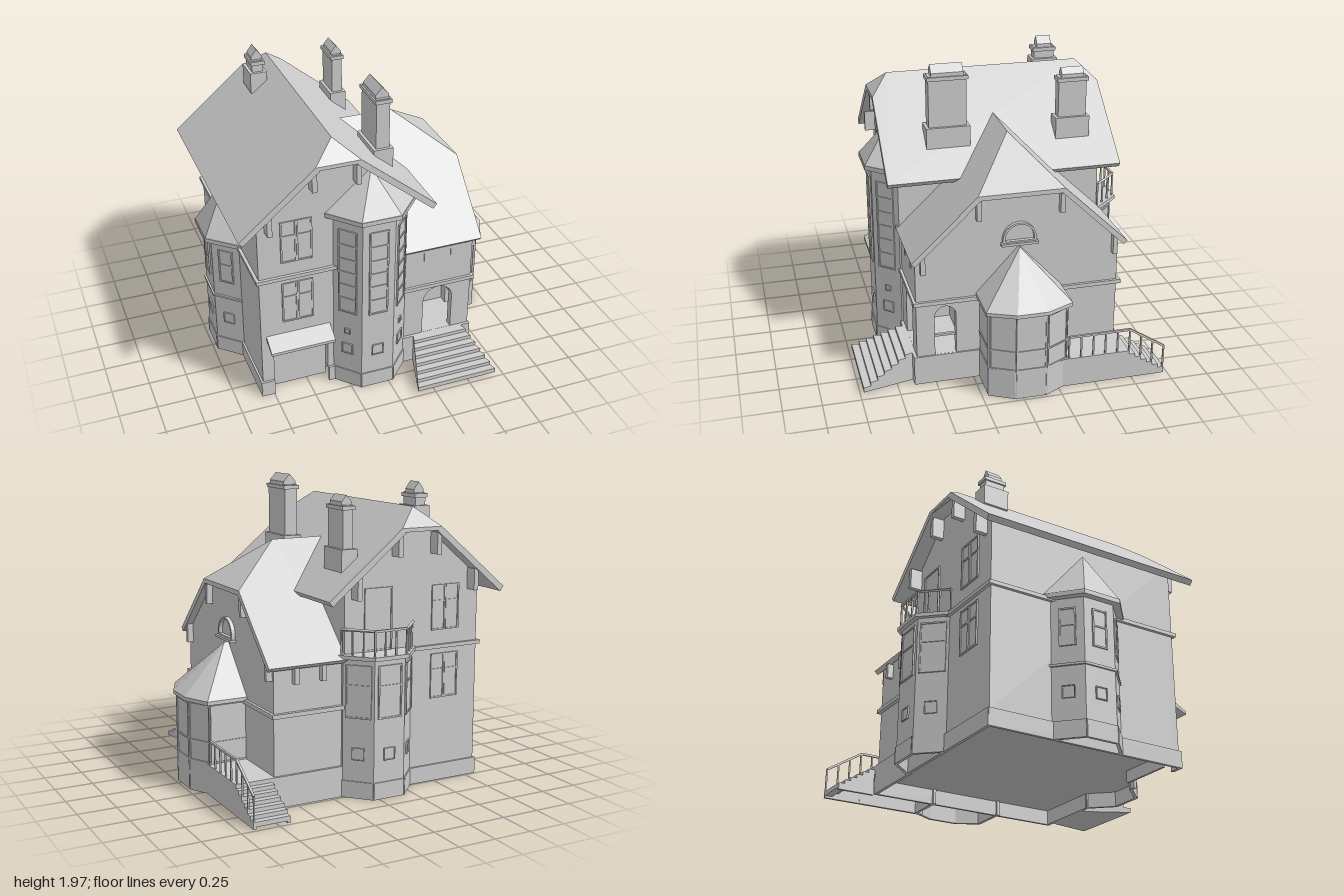
import * as THREE from 'three';
import { ConvexGeometry } from 'three/addons/geometries/ConvexGeometry.js';

const material = new THREE.MeshStandardMaterial({ color: 0xcccccc, flatShading: true });
const V = (x, y, z) => new THREE.Vector3(x, y, z);

function add(parent, name, geometry) {
  const m = new THREE.Mesh(geometry, material);
  m.name = name;
  parent.add(m);
  return m;
}
function group(parent, name, x = 0, y = 0, z = 0, rotY = 0) {
  const g = new THREE.Group();
  g.name = name;
  g.position.set(x, y, z);
  g.rotation.y = rotY;
  parent.add(g);
  return g;
}
function box(parent, name, x0, x1, y0, y1, z0, z1) {
  const m = add(parent, name, new THREE.BoxGeometry(x1 - x0, y1 - y0, z1 - z0));
  m.position.set((x0 + x1) / 2, (y0 + y1) / 2, (z0 + z1) / 2);
  return m;
}
const hull = (parent, name, points) => add(parent, name, new ConvexGeometry(points));
// upright solid over a convex plan of [x, z] corners
const prism = (parent, name, plan, y0, y1) =>
  hull(parent, name, plan.flatMap(([x, z]) => [V(x, y0, z), V(x, y1, z)]));
// thin wall following a path of [x, z] corners
function skirt(parent, name, path, y0, y1) {
  for (let i = 0; i < path.length - 1; i++) {
    const [ax, az] = path[i], [bx, bz] = path[i + 1];
    const m = add(parent, name, new THREE.BoxGeometry(Math.hypot(bx - ax, bz - az) + 0.015, y1 - y0, 0.02));
    m.position.set((ax + bx) / 2, (y0 + y1) / 2, (az + bz) / 2);
    m.rotation.y = Math.atan2(az - bz, bx - ax);
  }
}
// roof slab: a flat convex outline thickened by an offset
const slab = (parent, name, pts, offset) => hull(parent, name, pts.flatMap(p => [p, p.clone().add(offset)]));
const outline = pts => new THREE.Shape(pts.map(p => new THREE.Vector2(...p)));
const extrude = (parent, name, shape, depth) =>
  add(parent, name, new THREE.ExtrudeGeometry(shape, { depth, bevelEnabled: false, curveSegments: 8 }));

function arch(cx, y0, w, h, Type = THREE.Path) {
  const p = new Type(), r = w / 2;
  p.moveTo(cx - r, y0);
  p.lineTo(cx + r, y0);
  p.lineTo(cx + r, y0 + h - r);
  p.absarc(cx, y0 + h - r, r, 0, Math.PI, false);
  p.lineTo(cx - r, y0);
  return p;
}
// handrail following a path at hand height, with posts below
function railing(parent, path, height, counts) {
  const g = group(parent, 'railing');
  for (let i = 0; i < path.length - 1; i++) {
    const a = path[i], b = path[i + 1], along = b.clone().sub(a);
    const rail = add(g, 'handrail', new THREE.BoxGeometry(0.014, along.length(), 0.014));
    rail.position.copy(a).lerp(b, 0.5);
    rail.quaternion.setFromUnitVectors(V(0, 1, 0), along.normalize());
    for (let k = 0; k <= counts[i]; k++) {
      const p = a.clone().lerp(b, k / counts[i]);
      box(g, 'baluster', p.x - 0.005, p.x + 0.005, p.y - height, p.y, p.z - 0.005, p.z + 0.005);
    }
  }
}
// framed window facing local +z, its sill at y; bars are fractions of the height
function windowUnit(parent, x, y, z, rotY, w, h, bars = [], f = 0.01) {
  const g = group(parent, 'window', x, y, z, rotY);
  box(g, 'pane', -w / 2, w / 2, 0, h, -0.01, 0.003);
  for (const s of [-1, 1]) {
    const c = s * (w - f) / 2;
    box(g, 'frameUpright', c - f / 2, c + f / 2, 0, h, -0.01, 0.01);
  }
  for (const t of [0, ...bars, 1]) {
    const c = f / 2 + (h - f) * t;
    box(g, 'frameBar', -w / 2, w / 2, c - f / 2, c + f / 2, -0.01, 0.009);
  }
}
// three-sided bay, wall on local z = 0, projecting to +z
const bayPlan = o => [[-0.25 - o, -0.02], [-0.25 - o, 0], [-0.11 - 0.4 * o, 0.15 + 0.8 * o],
  [0.11 + 0.4 * o, 0.15 + 0.8 * o], [0.25 + o, 0], [0.25 + o, -0.02]];
function bay(parent, name, x, z, rotY, top, y, w, h, bars) {
  const g = group(parent, name, x, 0, z, rotY);
  prism(g, 'bayWall', bayPlan(0), 0.1, top);
  skirt(g, 'bayPlinth', bayPlan(-0.004).slice(1, 5), 0, 0.11);
  const a = Math.atan2(0.15, 0.14);
  for (const [px, pz, r] of [[0, 0.15, 0], [0.18, 0.075, a], [-0.18, 0.075, -a]]) {
    windowUnit(g, px, y, pz, r, w, h, bars);
    windowUnit(g, px, 0.25, pz, r, 0.08, 0.08, [], 0.006);
  }
  return g;
}
function bayRoof(g, eave, apex) {
  prism(g, 'bayEave', bayPlan(0.055), eave, eave + 0.03);
  hull(g, 'bayRoof', [...bayPlan(0.05).map(([x, z]) => V(x, eave + 0.03, z)), V(0, apex, 0), V(0, apex, -0.02)]);
}
function chimney(parent, x, z, w, d, y0, y1, y2, top) {
  const g = group(parent, 'chimney', x, 0, z);
  const part = (n, e, a, b) => box(g, n, -w / 2 - e, w / 2 + e, a, b, -d / 2 - e, d / 2 + e);
  part('chimneyBase', 0.02, y0, y1);
  part('chimneyShaft', 0, y1, y2);
  part('chimneyCollar', 0.01, y2 - 0.03, y2 - 0.005);
  hull(g, 'chimneyCap', [-d / 2 + 0.02, d / 2 - 0.02].flatMap(c =>
    [V(-w / 2, y2, c), V(w / 2, y2, c), V(-w / 2, y2 + 0.02, c), V(w / 2, y2 + 0.02, c), V(0, top, c)]));
}

export function createModel() {
  const house = new THREE.Group();
  house.name = 'house';

  // main block with a recessed garage opening
  const main = group(house, 'mainBlock'), rx = -0.325;
  const gable = [[0.17, 0.1], [0.17, 1.36], [-0.19, 1.66], [-0.46, 1.66], [-0.82, 1.36], [-0.82, 0.1]];
  extrude(main, 'mainWalls', outline(gable), 1.3).position.z = -0.73;
  extrude(main, 'frontWall', outline([...gable, [-0.74, 0.1], [-0.74, 0.39], [-0.37, 0.39], [-0.37, 0.1]]), 0.06).position.z = 0.57;
  box(main, 'garageDoor', -0.74, -0.37, 0.02, 0.39, 0.565, 0.58);
  hull(main, 'garageCanopy', [-0.785, -0.355].flatMap(x =>
    [V(x, 0.47, 0.63), V(x, 0.44, 0.63), V(x, 0.41, 0.74), V(x, 0.39, 0.74)]));
  box(main, 'storeyBand', -0.84, 0.16, 0.89, 0.915, -0.75, 0.65);
  skirt(main, 'plinth', [[-0.75, 0.635], [-0.823, 0.635], [-0.823, -0.733], [0.17, -0.733]], 0, 0.11);
  skirt(main, 'plinth', [[-0.36, 0.635], [-0.32, 0.635]], 0, 0.11);
  for (const [z, r] of [[0.63, 0], [-0.73, Math.PI]])
    for (const y of [0.56, 1.01])
      for (const x of [-0.622, -0.518]) windowUnit(main, x, y, z, r, 0.102, 0.295, [0.65]);
  windowUnit(main, -0.07, 0.92, -0.73, Math.PI, 0.2, 0.4);

  // main roof with clipped gable ends
  const mainRoof = group(house, 'mainRoof');
  for (const s of [-1, 1]) {
    const half = s < 0 ? 0.632 : 0.655, c = rx + s * half * 0.224, e = rx + s * half;
    slab(mainRoof, 'roofSlope', [V(rx, 1.81, 0.6), V(c, 1.69, 0.72), V(e, 1.275, 0.72),
      V(e, 1.275, -0.83), V(c, 1.69, -0.83), V(rx, 1.81, -0.71)], V(-s * 0.025, -0.031, 0));
    for (const [z0, z1] of [[0.63, 0.7], [-0.81, -0.73]]) {
      box(mainRoof, 'bracket', rx + s * 0.142 - 0.016, rx + s * 0.142 + 0.016, 1.51, 1.65, z0, z1);
      if (s < 0 || z0 < 0)
        box(mainRoof, 'bracket', rx + s * 0.43 - 0.016, rx + s * 0.43 + 0.016, 1.26, 1.4, z0, z1);
    }
  }
  for (const [zr, ze] of [[0.6, 0.72], [-0.71, -0.83]])
    slab(mainRoof, 'clippedGable', [V(rx, 1.81, zr), V(rx - 0.142, 1.69, ze), V(rx + 0.147, 1.69, ze)], V(0, -0.025, 0));

  // side wing with a hollow corner porch
  const wing = group(house, 'wing'), rz = -0.055;
  box(wing, 'wingFloor', 0.1, 0.65, 0.1, 0.2, -0.72, 0.63);
  skirt(wing, 'wingPlinth', [[0.16, 0.63], [0.65, 0.63], [0.65, -0.722], [0.16, -0.722]], 0, 0.2);
  box(wing, 'wingCore', 0.1, 0.62, 0.2, 0.58, -0.715, 0.3);
  const porchFront = outline([[0.17, 0.2], [0.65, 0.2], [0.65, 0.58], [0.17, 0.58]]);
  porchFront.holes.push(arch(0.415, 0.201, 0.21, 0.355));
  extrude(wing, 'porchFrontWall', porchFront, 0.05).position.z = 0.57;
  const side = outline([[-0.62, 0.2], [0.715, 0.2], [0.715, 0.58], [-0.62, 0.58]]);
  side.holes.push(arch(-0.43, 0.201, 0.14, 0.345));
  const sideWall = extrude(wing, 'wingSideWall', side, 0.05);
  box(wing, 'porchRail', 0.61, 0.63, 0.32, 0.335, 0.36, 0.5);
  box(wing, 'wingBand', 0.1, 0.668, 0.57, 0.597, -0.74, 0.638);
  const upper = extrude(wing, 'wingGable', outline([[-0.62, 0.58], [0.715, 0.58], [0.715, 0.9],
    [0.33, 1.28], [-0.22, 1.28], [-0.62, 0.89]]), 0.55);
  const attic = arch(0.05, 0.95, 0.22, 0.135, THREE.Shape);
  attic.holes.push(arch(0.05, 0.962, 0.19, 0.11));
  const atticFrame = extrude(wing, 'atticWindowFrame', attic, 0.03);
  for (const [m, x] of [[sideWall, 0.6], [upper, 0.1], [atticFrame, 0.645]]) {
    m.position.x = x;
    m.rotation.y = Math.PI / 2;
  }
  box(wing, 'atticSill', 0.64, 0.69, 0.935, 0.952, -0.17, 0.07);

  // wing roof
  const wingRoof = group(house, 'wingRoof');
  for (const s of [-1, 1]) {
    const c = rz + s * 0.28, e = rz + s * 0.705;
    slab(wingRoof, 'roofSlope', [V(-0.06, 1.57, rz), V(0.33, 1.57, rz), V(0.7, 1.3, c), V(0.7, 0.892, e), V(0.16, 0.892, e)],
      V(0, -0.024, -s * 0.024));
    for (const [d, y] of [[0.27, 1.13], [0.63, 0.8]])
      box(wingRoof, 'bracket', 0.65, 0.69, y, y + 0.13, rz + s * d - 0.015, rz + s * d + 0.015);
    for (const x of [0.32, 0.51])
      box(wingRoof, 'bracket', x - 0.016, x + 0.016, 0.775, 0.875, rz + s * 0.67 - 0.03, rz + s * 0.67 + 0.01);
  }
  slab(wingRoof, 'clippedGable', [V(0.33, 1.57, rz), V(0.7, 1.3, rz + 0.28), V(0.7, 1.3, rz - 0.28)], V(0, -0.03, 0));

  // stair tower, side bay and balcony bay
  const tower = bay(house, 'stairTower', -0.08, 0.63, 0, 1.29, 0.58, 0.13, 0.62, [0.17, 0.34, 0.5, 0.66, 0.83]);
  for (const s of [-1, 1]) windowUnit(tower, s * 0.18, 0.41, 0.075, s * 0.82, 0.04, 0.04, [], 0.005);
  bayRoof(tower, 1.28, 1.57);
  const sideBay = bay(house, 'sideBay', -0.82, -0.06, -Math.PI / 2, 0.91, 0.585, 0.105, 0.25, [0.55]);
  prism(sideBay, 'baySill', bayPlan(0.015), 0.455, 0.47);
  bayRoof(sideBay, 0.9, 1.28);
  const backBay = bay(house, 'balconyBay', -0.07, -0.73, Math.PI, 0.9, 0.52, 0.17, 0.34, [0.62]);
  prism(backBay, 'balconyFloor', bayPlan(0.035), 0.895, 0.92);
  railing(backBay, bayPlan(0.01).slice(1, 5).map(([x, z]) => V(x, 1.08, z)), 0.16, [3, 3, 3]);

  // glazed garden room
  const room = group(house, 'gardenRoom', 0.65, 0, -0.05);
  const roomPlan = o => [[-0.02, 0.26 + o], [0.25 + o, 0.26 + o], [0.33 + o, 0.1], [0.33 + o, -0.1], [0.25 + o, -0.26 - o], [-0.02, -0.26 - o]];
  prism(room, 'roomFloor', roomPlan(0), 0.17, 0.2);
  skirt(room, 'roomBase', roomPlan(-0.01), 0, 0.2);
  prism(room, 'roomGlazing', roomPlan(-0.01), 0.2, 0.6);
  const plan = roomPlan(-0.008);
  for (let i = 0; i < 5; i++) {
    const [ax, az] = plan[i], [bx, bz] = plan[i + 1];
    windowUnit(room, (ax + bx) / 2, 0.2, (az + bz) / 2, Math.atan2(az - bz, bx - ax),
      Math.hypot(bx - ax, bz - az), 0.38, [0.36]);
  }
  prism(room, 'roomEave', roomPlan(0.02), 0.59, 0.615);
  hull(room, 'roomRoof', [...roomPlan(0.02).map(([x, z]) => V(x, 0.615, z)), V(0.03, 0.92, 0), V(-0.02, 0.92, 0)]);

  // garden terrace with steps and handrail
  const terrace = group(house, 'terrace');
  box(terrace, 'terraceFloor', 0.65, 0.912, 0.17, 0.2, -0.73, -0.25);
  box(terrace, 'terraceWall', 0.89, 0.912, 0, 0.18, -0.73, -0.25);
  for (let i = 1; i <= 6; i++) {
    const y = 0.2 - i * 0.026, z = -0.73 - i * 0.041;
    box(terrace, 'terraceStep', 0.67, 0.912, y - 0.03, y, z, z + 0.05);
    for (const x of [0.67, 0.892]) box(terrace, 'stepCheek', x, x + 0.02, 0, y, z, z + 0.041);
  }
  railing(terrace, [V(0.905, 0.355, -0.32), V(0.905, 0.355, -0.73), V(0.905, 0.2, -0.97)], 0.155, [5, 3]);

  // flared entrance steps
  const steps = group(house, 'entranceSteps');
  for (let i = 0; i < 7; i++) {
    const z = 0.69 + i * 0.048, w = 0.17 + (z - 0.62) * 0.31, y = 0.2 - i * 0.025;
    hull(steps, 'entranceStep', [-1, 1].flatMap(s => [V(0.415 + s * 0.17, 0, 0.62), V(0.415 + s * 0.17, y, 0.62),
      V(0.415 + s * w, i * 0.003, z), V(0.415 + s * w, y, z)]));
  }

  // chimneys
  chimney(house, 0.085, 0.285, 0.09, 0.25, 1.415, 1.56, 1.9, 1.97);
  chimney(house, 0.1, -0.55, 0.07, 0.19, 1.41, 1.56, 1.83, 1.89);
  chimney(house, -0.46, -0.52, 0.075, 0.14, 1.66, 1.8, 1.88, 1.95);
  return house;
}
